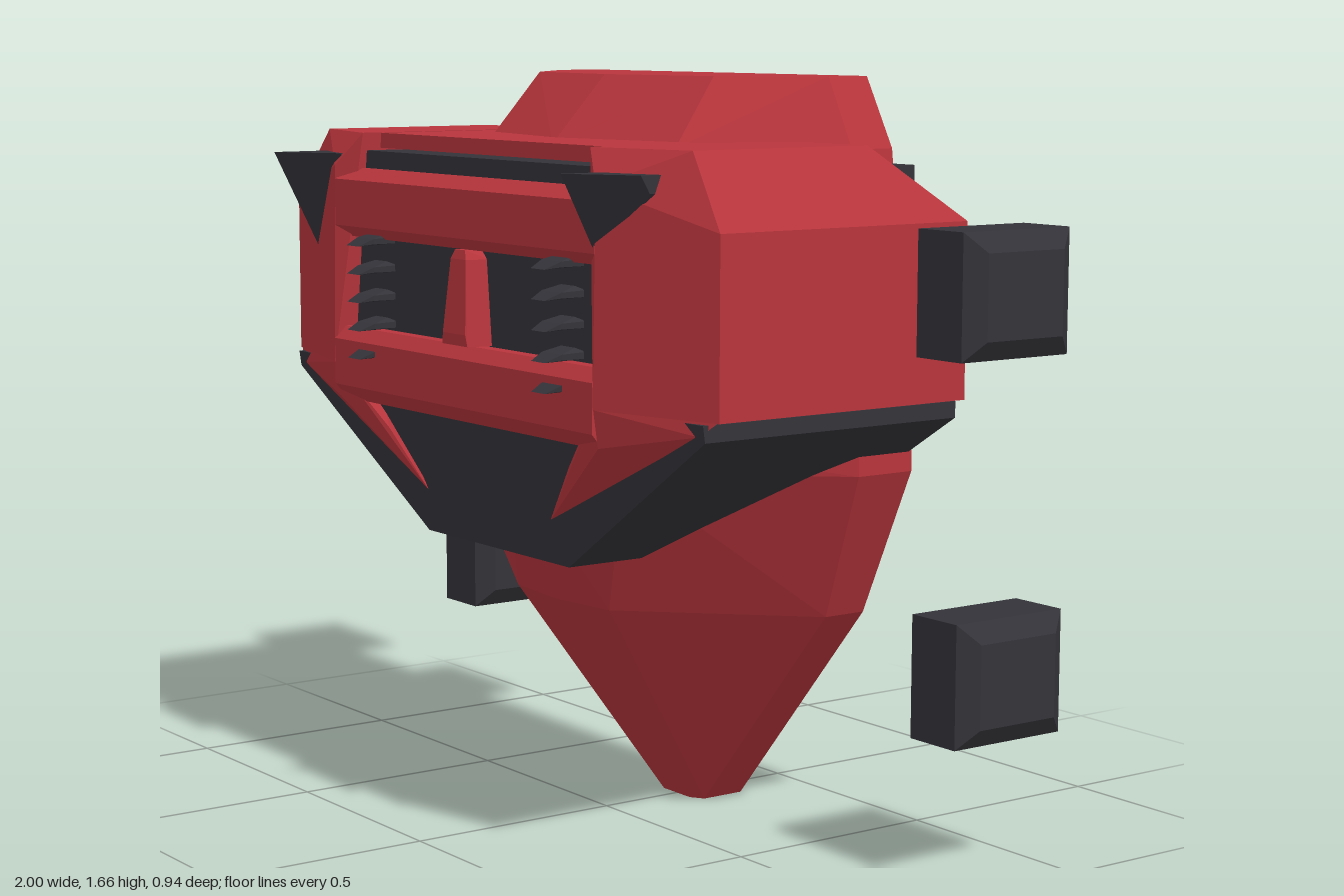
import * as THREE from 'three';
import { ConvexGeometry } from 'three/addons/geometries/ConvexGeometry.js';

const red = new THREE.MeshStandardMaterial({ color: 0xb8353c, flatShading: true });
red.name = 'red';
const dark = new THREE.MeshStandardMaterial({ color: 0x343339, flatShading: true });
dark.name = 'charcoal';

export function createModel() {
  const model = new THREE.Group();

  const add = (name, geometry, material) => {
    const mesh = new THREE.Mesh(geometry, material);
    mesh.name = name;
    model.add(mesh);
    return mesh;
  };
  // Faceted solid around a few corner points
  const solid = (name, points, material) =>
    add(name, new ConvexGeometry(points.map(p => new THREE.Vector3(...p))), material);
  // Points mirrored across x
  const flip = points => points.map(([x, y, z]) => [-x, y, z]);
  const both = points => [...points, ...flip(points)];
  // Solid with a constant [z, y] profile across its width
  const beam = (name, halfWidth, profile, material) =>
    solid(name, both(profile.map(([z, y]) => [halfWidth, y, z])), material);
  const box = (name, x0, x1, y0, y1, z0, z1, material) => {
    const g = new THREE.BoxGeometry(x1 - x0, y1 - y0, z1 - z0);
    g.translate((x0 + x1) / 2, (y0 + y1) / 2, (z0 + z1) / 2);
    return add(name, g, material);
  };

  // Main hull: half sections [y, [x, z]...]
  const sections = [
    [0, [0.08, -0.325], [0.08, -0.22], [0.05, -0.2]],
    [0.5, [0.51, -0.325], [0.51, -0.22], [0.18, 0.12], [0, 0.14]],
    [0.83, [0.662, -0.325], [0.662, -0.18], [0.33, 0.19], [0, 0.27]],
    [0.9, [0.662, -0.325], [0.662, -0.18], [0.34, 0.19], [0, 0.27]],
    [1.51, [0.585, -0.325], [0.585, -0.215], [0.355, 0.075], [0, 0.145]],
    [1.66, [0.5, -0.325], [0.5, -0.22], [0.33, -0.045], [0, 0.005]],
  ];
  solid('hull', both(sections.flatMap(([y, ...ring]) => ring.map(([x, z]) => [x, y, z]))), red);

  // Dark inner body behind the grille and between the shoulders
  box('grilleCore', -0.53, 0.53, 0.95, 1.485, -0.3, 0.345, dark);
  box('rearCore', -0.66, 0.66, 0.96, 1.478, -0.323, 0, dark);
  box('roof', -0.46, 0.46, 1.49, 1.524, -0.15, 0.31, red);

  // Skirt under the shoulders
  solid('skirt', both([
    [0.8, 0.995, 0.335], [0.8, 0.96, 0.33], [0.28, 0.63, 0.295], [0.45, 0.995, 0.345],
    [0.8, 0.995, -0.322], [0.8, 0.96, -0.322], [0.28, 0.63, -0.3],
  ]), dark);

  // Shoulders and the cheek blades below them
  const shoulder = [
    [0.826, 1, 0.315], [0.826, 1, -0.323], [0.826, 1.37, 0.315], [0.826, 1.37, -0.323],
    [0.71, 1.525, 0.295], [0.71, 1.525, -0.15], [0.44, 1.525, -0.15], [0.45, 1.525, 0.358],
    [0.518, 1.45, 0.393], [0.518, 1, 0.4], [0.52, 1, -0.323], [0.52, 1.37, -0.323],
  ];
  const cheek = [
    [0.82, 1, 0.315], [0.78, 0.97, 0.33], [0.245, 0.73, 0.318], [0.31, 0.765, 0.31],
    [0.36, 0.86, 0.35], [0.515, 0.92, 0.385], [0.515, 1, 0.397], [0.6, 1, 0.25],
    [0.5, 0.86, 0.27],
  ];
  solid('leftShoulder', shoulder, red);
  solid('rightShoulder', flip(shoulder), red);
  solid('leftCheek', cheek, red);
  solid('rightCheek', flip(cheek), red);

  // Front bars and the central nose
  beam('upperBar', 0.515, [[0.3, 1.445], [0.355, 1.445], [0.395, 1.42], [0.395, 1.315], [0.37, 1.29], [0.3, 1.29]], red);
  beam('lowerBar', 0.515, [[0.3, 1.083], [0.375, 1.083], [0.4, 1.055], [0.4, 0.95], [0.37, 0.915], [0.3, 0.915]], red);
  solid('nose', both([
    [0.063, 1.085, 0.34], [0.05, 1.085, 0.4], [0.045, 1.27, 0.34], [0.03, 1.27, 0.39],
    [0.025, 1.29, 0.34], [0.02, 1.29, 0.385], [0.045, 1.11, 0.402],
  ]), red);

  // Columns of small spikes on the grille
  for (const side of [-1, 1]) {
    for (let i = 0; i < 5; i++) {
      const y = 1.035 + i * 0.0635, x = side * 0.372;
      solid('grilleSpike', [-1, 1].flatMap(s => [
        [x + s * 0.036, y + 0.006, 0.34], [x + s * 0.036, y - 0.008, 0.34],
        [x + s * 0.036, y + 0.004, 0.4], [x + s * 0.036, y - 0.008, 0.4],
        [x + s * 0.025, y + 0.015, 0.36], [x + s * 0.025, y - 0.012, 0.435],
      ]), dark);
    }
  }

  // Pointed brow horns, both facing the same way
  for (const x of [-0.658, 0.51]) {
    solid('browHorn', [
      [x, 1.477, 0.472], [x, 1.477, 0.3], [x + 0.147, 1.477, 0.382], [x + 0.147, 1.477, 0.3],
      [x + 0.147, 1.44, 0.36], [x + 0.147, 1.44, 0.3], [x, 1.25, 0.355], [x, 1.25, 0.3],
    ], dark);
  }

  // Four chamfered pods at the sides
  for (const side of [-1, 1]) {
    for (const y of [0.435, 1.23]) {
      const points = [];
      for (const [x, c] of [[0.805, 0.042], [0.835, 0], [0.97, 0], [1, 0.042]])
        for (const sy of [-1, 1])
          for (const sz of [-1, 1])
            points.push([side * x, y + sy * (0.131 - c), -0.327 + sz * (0.145 - c)]);
      solid('sidePod', points, dark);
    }
  }
  return model;
}
